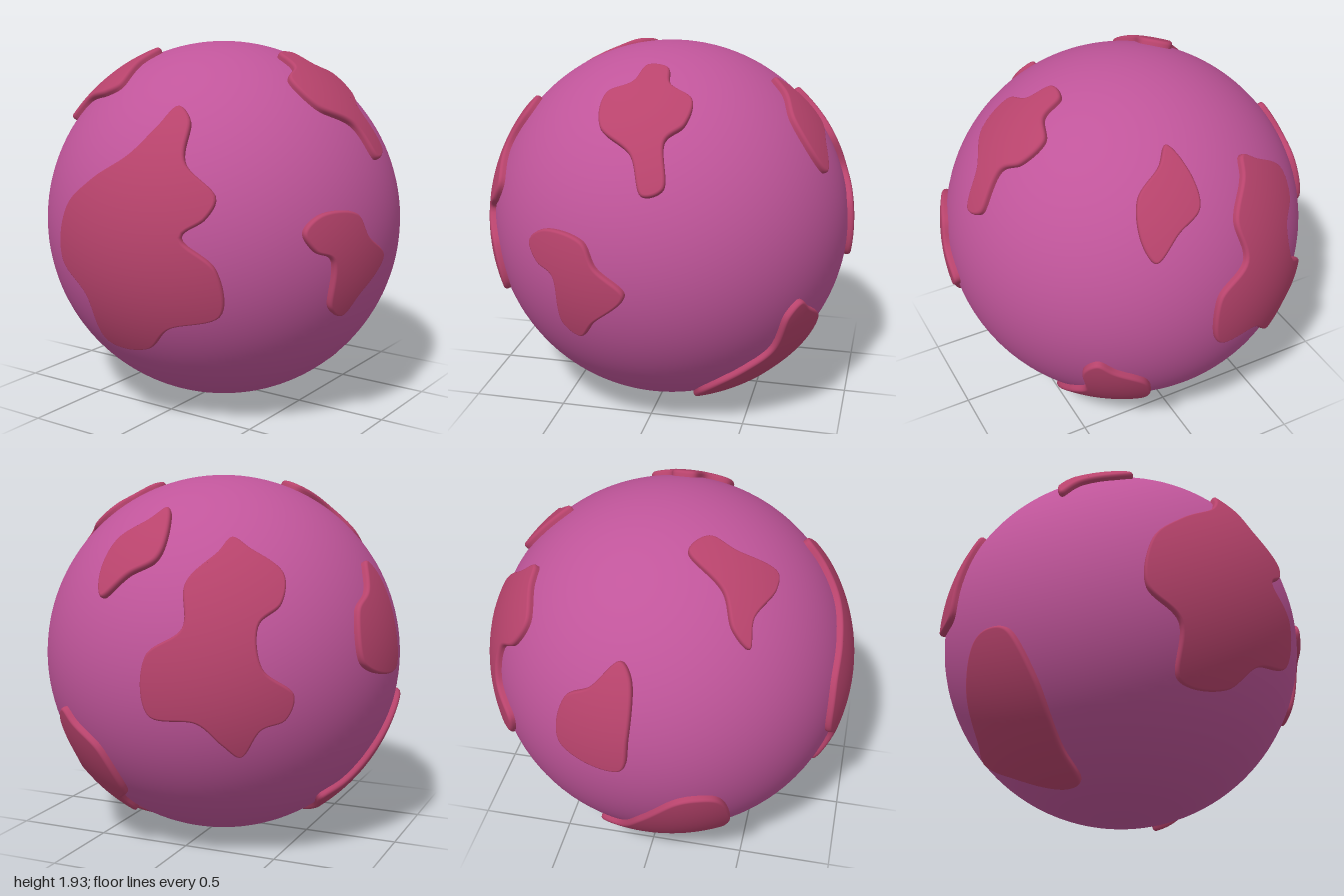
import * as THREE from 'three';
import { mergeVertices } from 'three/addons/utils/BufferGeometryUtils.js';

const CORE = 0.967;   // globe radius
const OUTER = 1.0;    // radius of the raised land surface
const MAX_EDGE = 0.06;

// Raised plate hugging the sphere, built facing +z.
// The outline is a few capes and bays as u, v pairs in hundredths of a unit.
function landGeometry(outline) {
  const corners = [];
  for (let i = 0; i < outline.length; i += 2) corners.push(new THREE.Vector2(outline[i], outline[i + 1]).divideScalar(100));
  if (THREE.ShapeUtils.isClockWise(corners)) corners.reverse();
  const lifted = corners.map((p) => new THREE.Vector3(p.x, p.y, Math.sqrt(1 - p.lengthSq())));
  const rim = new THREE.CatmullRomCurve3(lifted, true, 'centripetal').getSpacedPoints(160).slice(0, -1);
  rim.forEach((p) => p.normalize());
  const n = rim.length;
  const inward = rim.map((p, i) => {
    const along = rim[(i + 1) % n].clone().sub(rim[(i + n - 1) % n]);
    return p.clone().cross(along).normalize();
  });

  // Wall and rounded lip: [inset, radius]
  const lip = [[0, 0.945], [0, 0.982], [0.003, 0.991], [0.008, 0.997], [0.016, OUTER]];
  const rings = lip.map(([inset, radius]) =>
    rim.map((p, i) => p.clone().addScaledVector(inward[i], inset).setLength(radius)));

  const soup = [];
  const tri = (a, b, c) => soup.push(...a.toArray(), ...b.toArray(), ...c.toArray());
  for (let k = 0; k < rings.length - 1; k++) {
    for (let i = 0; i < n; i++) {
      const j = (i + 1) % n;
      tri(rings[k][i], rings[k][j], rings[k + 1][j]);
      tri(rings[k][i], rings[k + 1][j], rings[k + 1][i]);
    }
  }

  // Domed top: halve the longest edge until every triangle follows the sphere
  const dome = (a, b, c) => {
    const ab = a.distanceTo(b), bc = b.distanceTo(c), ca = c.distanceTo(a);
    const longest = Math.max(ab, bc, ca);
    if (longest < MAX_EDGE) return tri(a, b, c);
    if (longest === bc) return dome(b, c, a);
    if (longest === ca) return dome(c, a, b);
    const m = a.clone().add(b).setLength(OUTER);
    dome(a, m, c);
    dome(m, b, c);
  };
  const top = rings[rings.length - 1];
  const faces = THREE.ShapeUtils.triangulateShape(top.map((p) => new THREE.Vector2(p.x, p.y)), []);
  faces.forEach(([a, b, c]) => dome(top[a], top[b], top[c]));

  let geometry = new THREE.BufferGeometry();
  geometry.setAttribute('position', new THREE.Float32BufferAttribute(soup, 3));
  geometry = mergeVertices(geometry, 1e-5);
  geometry.computeVertexNormals();

  // The top takes the normals of the sphere
  const { position, normal } = geometry.attributes;
  const v = new THREE.Vector3();
  for (let i = 0; i < position.count; i++) {
    v.fromBufferAttribute(position, i);
    if (v.length() > OUTER - 1e-4) {
      v.normalize();
      normal.setXYZ(i, v.x, v.y, v.z);
    }
  }
  return geometry;
}

export function createModel() {
  const model = new THREE.Group();
  model.name = 'planet';

  const globe = new THREE.Mesh(
    new THREE.SphereGeometry(CORE, 96, 64),
    new THREE.MeshStandardMaterial({ color: 0xc0559a }));
  globe.name = 'globe';
  globe.position.y = CORE;
  model.add(globe);

  // Lands, each facing a given azimuth and elevation in degrees
  const landMaterial = new THREE.MeshStandardMaterial({ color: 0xb8436c });
  const addLand = (name, azimuth, elevation, ...outline) => {
    const land = new THREE.Mesh(landGeometry(outline), landMaterial);
    land.name = name;
    land.rotation.set(-THREE.MathUtils.degToRad(elevation), THREE.MathUtils.degToRad(azimuth), 0, 'YXZ');
    land.position.y = CORE;
    model.add(land);
  };

  addLand('frontContinent', 0, 0,
    20, 70, 29, 64, 34, 45, 51, 29, 48, 19, 38, 10, 53, -5, 53, -29, 28, -38,
    12, -52, -15, -52, -20, -26, -37, -10, -33, 18, -17, 33, 4, 47, 14, 60);
  addLand('sideIsland', 90, 0,
    -54, 11, -45, 19, -23, 17, -16, 5, -1, -8, -18, -26, -26, -36, -36, -30, -40, -4, -49, 1);
  addLand('upperCrossIsland', 90, 45,
    -4, 39, 7, 38, 11, 26, 23, 18, 22, 2, 14, -8, 16, -32, 6, -36, -2, -17, -20, -2, -21, 19, -9, 26);
  addLand('upperFrontIsland', 0, 90,
    -37, -16, -25, -24, -27, -38, -25, -59, -34, -60, -53, -52, -64, -52, -62, -43, -50, -36);
  addLand('wedgeIsland', 215, 25,
    64, 27, 71, 22, 80, -8, 79, -27, 54, -30, 52, -4, 60, 8);
  addLand('backContinent', 215, 25,
    -10, 33, -2, 26, 13, 12, 10, -4, -2, -14, -1, -34, 15, -46, 11, -57, -1, -61,
    -10, -72, -20, -66, -32, -56, -54, -49, -55, -22, -38, -12, -35, 10, -18, 25);
  addLand('upperBackIsland', 215, 25,
    -37, 57, -40, 39, -47, 25, -60, 20, -73, 12, -73, 24, -63, 43, -47, 51);
  addLand('lowerBackIsland', 145, -30,
    0, 31, 8, 25, 24, 11, 22, -19, 9, -28, 2, -43, -11, -47, -15, -61, -29, -42, -28, -28, -19, -13, -9, 0, -8, 24);
  addLand('lowerFrontIsland', -80, -40,
    15, 47, 27, 42, 34, 15, 26, -22, 19, -42, 10, -43, -16, -27, -37, -13, -26, 0, -14, 25, 4, 45);
  return model;
}
